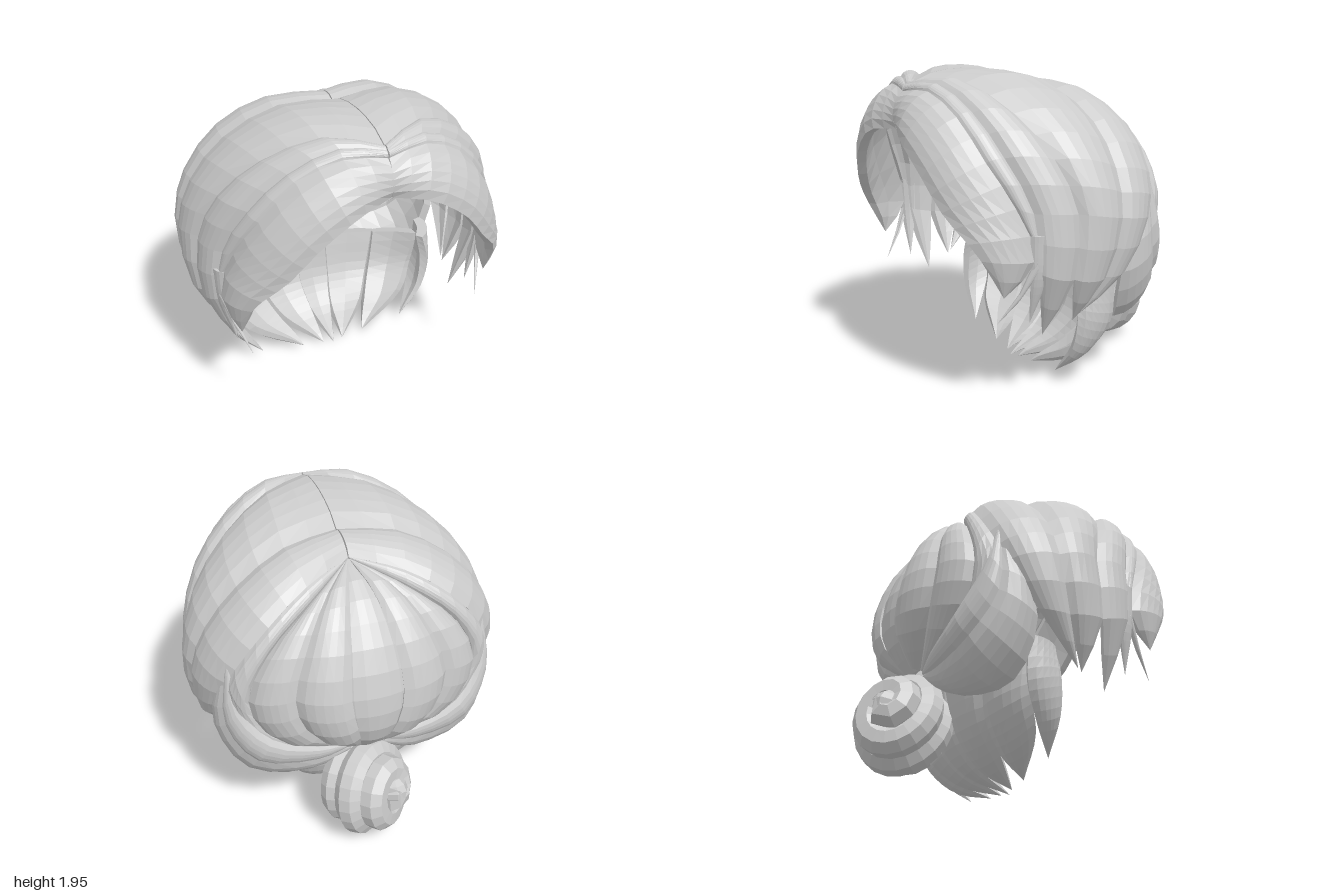
import * as THREE from 'three';

const material = new THREE.MeshStandardMaterial({ color: 0xcccccc, flatShading: true });
const HEAD = new THREE.Vector3(0, 1, 0);
const ROWS = 12, OUTER = 6;

const curve = (points, mirror) => new THREE.CatmullRomCurve3(
  points.map(([x, y, z]) => new THREE.Vector3(mirror ? -x : x, y, z)));

// Closed lock of hair lofted between two edge curves, bulging away from the head
function lockGeometry(edgeA, edgeB, tip, mirror) {
  const a = curve(tip ? [...edgeA, tip] : edgeA, mirror);
  const b = curve(tip ? [...edgeB, tip] : edgeB, mirror);
  const frame = (t) => {
    const pa = a.getPoint(t), pb = b.getPoint(t);
    const w = pb.clone().sub(pa), mid = pa.clone().add(pb).multiplyScalar(0.5);
    const tangent = a.getTangent(t).add(b.getTangent(t));
    return { pa, pb, mid, width: w.length(), n: w.cross(tangent) };
  };
  const m = frame(0.5);
  const sign = m.n.dot(m.mid.clone().sub(HEAD)) > 0 ? 1 : -1;
  const pos = [], index = [], size = OUTER + 4;
  for (let i = 0; i <= ROWS; i++) {
    const { pa, pb, mid, width, n } = frame(i / ROWS);
    if (width < 1e-3) n.copy(mid).sub(HEAD).normalize();
    else n.normalize().multiplyScalar(sign);
    const bulge = 0.1 * (1 - Math.exp(-2.5 * width));
    const depth = 0.05 * (1 - Math.exp(-8 * width));
    const put = (s, h) => pos.push(...pa.clone().lerp(pb, s).addScaledVector(n, h).toArray());
    for (let j = 0; j <= OUTER; j++) {
      const s = j / OUTER;
      put(s, bulge * Math.pow(Math.max(0, 4 * s * (1 - s)), 0.75));
    }
    put(0.9, -depth); put(0.5, -depth + bulge * 0.4); put(0.1, -depth);
  }
  const tri = (p, q, r) => sign > 0 ? index.push(p, q, r) : index.push(p, r, q);
  for (let i = 0; i < ROWS; i++) for (let j = 0; j < size; j++) {
    const k = (j + 1) % size, r = i * size, s = r + size;
    tri(r + j, r + k, s + k);
    tri(r + j, s + k, s + j);
  }
  // end caps
  const last = ROWS * size;
  for (let j = 1; j < size - 1; j++) {
    tri(0, j + 1, j);
    tri(last, last + j, last + j + 1);
  }
  const g = new THREE.BufferGeometry();
  g.setAttribute('position', new THREE.Float32BufferAttribute(pos, 3));
  g.setIndex(index);
  g.computeVertexNormals();
  return g;
}

// Boundaries between neighbouring locks on the +x side, from the parting downwards
const fringeLow = [[.003, 1.61, .85], [.22, 1.58, .93], [.45, 1.42, .92], [.62, 1.21, .86], [.78, 1.02, .75]];
const fringeTop = [[.003, 1.83, .8], [.25, 1.85, .76], [.5, 1.73, .71], [.7, 1.5, .64], [.82, 1.25, .52], [.88, .95, .43]];
const temple = [[.003, 1.87, .78], [.25, 1.89, .7], [.52, 1.75, .62], [.73, 1.52, .54], [.86, 1.22, .43], [.88, .88, .41]];
const crownFront = [[.003, 1.88, .74], [.3, 1.89, .55], [.6, 1.74, .4], [.82, 1.5, .27], [.93, 1.2, .18], [.93, .82, .2]];
const crownBack = [[.003, 1.85, .03], [.35, 1.83, -.05], [.66, 1.66, -.11], [.87, 1.42, -.12], [.97, 1.15, -.1], [.93, .8, -.02]];
const earBack = [[.003, 1.79, -.2], [.3, 1.73, -.35], [.56, 1.57, -.45], [.77, 1.32, -.45], [.86, 1.1, -.37], [.88, .82, -.2]];
const capOuter = [[.003, 1.78, -.2], [.3, 1.64, -.4], [.58, 1.42, -.5], [.72, 1.1, -.52], [.58, .82, -.54], [.12, .66, -.55]];
const capMiddle = [[.003, 1.78, -.2], [.22, 1.67, -.43], [.38, 1.45, -.59], [.47, 1.15, -.66], [.37, .88, -.66], [.08, .68, -.58]];
const capInner = [[.003, 1.78, -.2], [.07, 1.69, -.43], [.13, 1.46, -.65], [.16, 1.15, -.77], [.11, .9, -.77], [.05, .7, -.64]];
const sweepTop = [[.8, 1.32, -.42], [.77, 1.05, -.5], [.6, .84, -.58], [.32, .72, -.6], [.1, .67, -.57]];
const sweepMiddle = [[.82, 1.31, -.4], [.85, .9, -.43], [.69, .66, -.54], [.32, .6, -.58], [.1, .64, -.57]];
const sweepLow = [[.83, 1.3, -.36], [.86, .78, -.19], [.7, .44, -.26], [.38, .43, -.42], [.1, .6, -.55]];

const sideLocks = [
  ['fringe', fringeLow, fringeTop, [.82, .75, .6]],
  ['frontTempleLock', fringeTop, temple, [.76, .57, .62]],
  ['rearTempleLock', temple, crownFront, [.75, .45, .3]],
  ['templeWisp', [[.87, 1.1, .46], [.86, .85, .45]], [[.9, 1.1, .34], [.88, .85, .35]], [.8, .56, .42]],
  ['crownLock', crownFront, crownBack, [.8, .52, .12]],
  ['earLock', crownBack, earBack, [.8, .54, .1]],
  ['outerBackLock', earBack.slice(0, 5), capOuter.slice(0, 5)],
  ['middleBackLock', capOuter, capMiddle],
  ['innerBackLock', capMiddle, capInner],
  ['upperSweptLock', sweepTop, sweepMiddle],
  ['lowerSweptLock', sweepMiddle, sweepLow],
  ['outerNapeLock', [[.69, .68, .02], [.73, .5, .03], [.69, .28, .04]],
    [[.78, .7, -.2], [.75, .43, -.2], [.66, .23, -.1]], [.52, .08, .05]],
  ['middleNapeLock', [[.76, .62, -.14], [.7, .38, -.15], [.58, .2, -.06]],
    [[.46, .58, -.36], [.4, .3, -.3], [.31, .13, -.15]], [.22, .03, .05]],
  ['innerNapeLock', [[.5, .58, -.35], [.42, .3, -.29], [.31, .13, -.15]],
    [[.08, .6, -.42], [.08, .3, -.34], [.06, .12, -.19]], [.07, .01, .05]],
];

// Bun: a strand coiled over a ball, its spiral turned to the rear, right and up
function makeBun() {
  const bun = new THREE.Group();
  bun.name = 'bun';
  const path = [], turns = 4, steps = 56;
  for (let i = 0; i <= steps; i++) {
    const t = i / steps, phi = Math.PI * (0.92 * (1 - t) + 0.02), th = t * turns * Math.PI * 2;
    path.push(new THREE.Vector3(
      0.215 * Math.sin(phi) * Math.cos(th), 0.235 * Math.sin(phi) * Math.sin(th), -0.2 * Math.cos(phi)));
  }
  const coil = new THREE.Mesh(
    new THREE.TubeGeometry(new THREE.CatmullRomCurve3(path), 64, 0.095, 8), material);
  coil.name = 'bunCoil';
  const core = new THREE.Mesh(new THREE.SphereGeometry(0.22, 14, 10), material);
  core.name = 'bunCore';
  const centre = new THREE.Mesh(new THREE.SphereGeometry(0.09, 8, 6), material);
  centre.name = 'bunCentre';
  centre.position.z = -0.21;
  bun.add(coil, core, centre);
  bun.position.set(0.02, 0.345, -0.64);
  bun.rotation.set(0.35, 0.7, 0);
  return bun;
}

export function createModel() {
  const hair = new THREE.Group();
  hair.name = 'hair';
  const add = (name, a, b, tip, mirror) => {
    const mesh = new THREE.Mesh(lockGeometry(a, b, tip, mirror), material);
    mesh.name = name;
    hair.add(mesh);
  };
  for (const [name, a, b, tip] of sideLocks) {
    add(name + 'Left', a, b, tip, false);
    add(name + 'Right', a, b, tip, true);
  }
  // recessed strip down the middle of the back
  const strip = (s) => capInner.map(([x, y, z]) => [s * (1.25 * x + 0.02), y - 0.02, z + 0.05]);
  add('centreBackLock', strip(-1), strip(1));
  add('centreNapeLock', [[-.13, .62, -.4], [-.13, .3, -.34], [-.09, .12, -.2]],
    [[.13, .62, -.4], [.13, .3, -.34], [.09, .12, -.2]], [0, 0, .07]);
  hair.add(makeBun());
  return hair;
}
